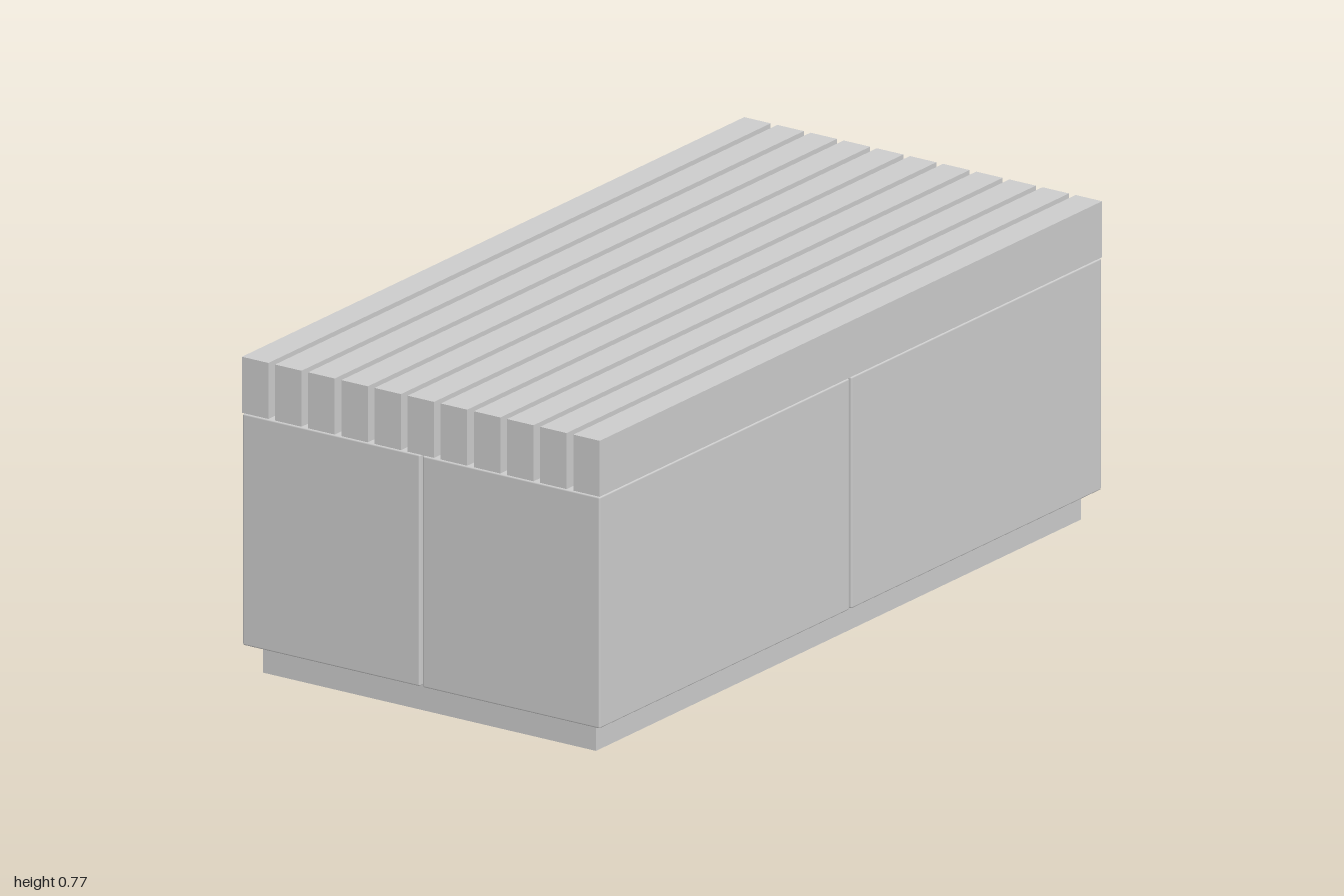
import * as THREE from 'three';
import { RoundedBoxGeometry } from 'three/addons/geometries/RoundedBoxGeometry.js';

export function createModel() {
  const model = new THREE.Group();
  model.name = 'slattedBench';
  const material = new THREE.MeshStandardMaterial({ color: 0xcccccc });

  // Adds a part by its centre in x and z and its bottom in y
  const add = (name, geometry, height, x, bottom, z) => {
    const mesh = new THREE.Mesh(geometry, material);
    mesh.name = name;
    mesh.position.set(x, bottom + height / 2, z);
    model.add(mesh);
  };

  // Recessed plinth
  add('plinth', new THREE.BoxGeometry(0.93, 0.072, 1.93), 0.072, 0, 0, 0);

  // Inner core, seen only at the bottom of the joints
  add('core', new THREE.BoxGeometry(0.97, 0.555, 1.97), 0.555, 0, 0.075, 0);

  // Four body blocks with fine eased edges, parted by narrow joints
  const gap = 0.008, blockHeight = 0.562;
  const block = new RoundedBoxGeometry(0.499 - gap / 2, blockHeight, 0.999 - gap / 2, 2, 0.004);
  for (const sx of [-1, 1]) {
    for (const sz of [-1, 1]) {
      add('bodyBlock', block, blockHeight, sx * (0.499 + gap / 2) / 2, 0.07, sz * (0.999 + gap / 2) / 2);
    }
  }

  // Eleven lengthwise seat slats
  const slatCount = 11, slatWidth = 0.074, slatHeight = 0.136;
  const pitch = (1 - slatWidth) / (slatCount - 1);
  const slat = new THREE.BoxGeometry(slatWidth, slatHeight, 2);
  for (let i = 0; i < slatCount; i++) {
    add('seatSlat', slat, slatHeight, (i - (slatCount - 1) / 2) * pitch, 0.634, 0);
  }

  return model;
}
